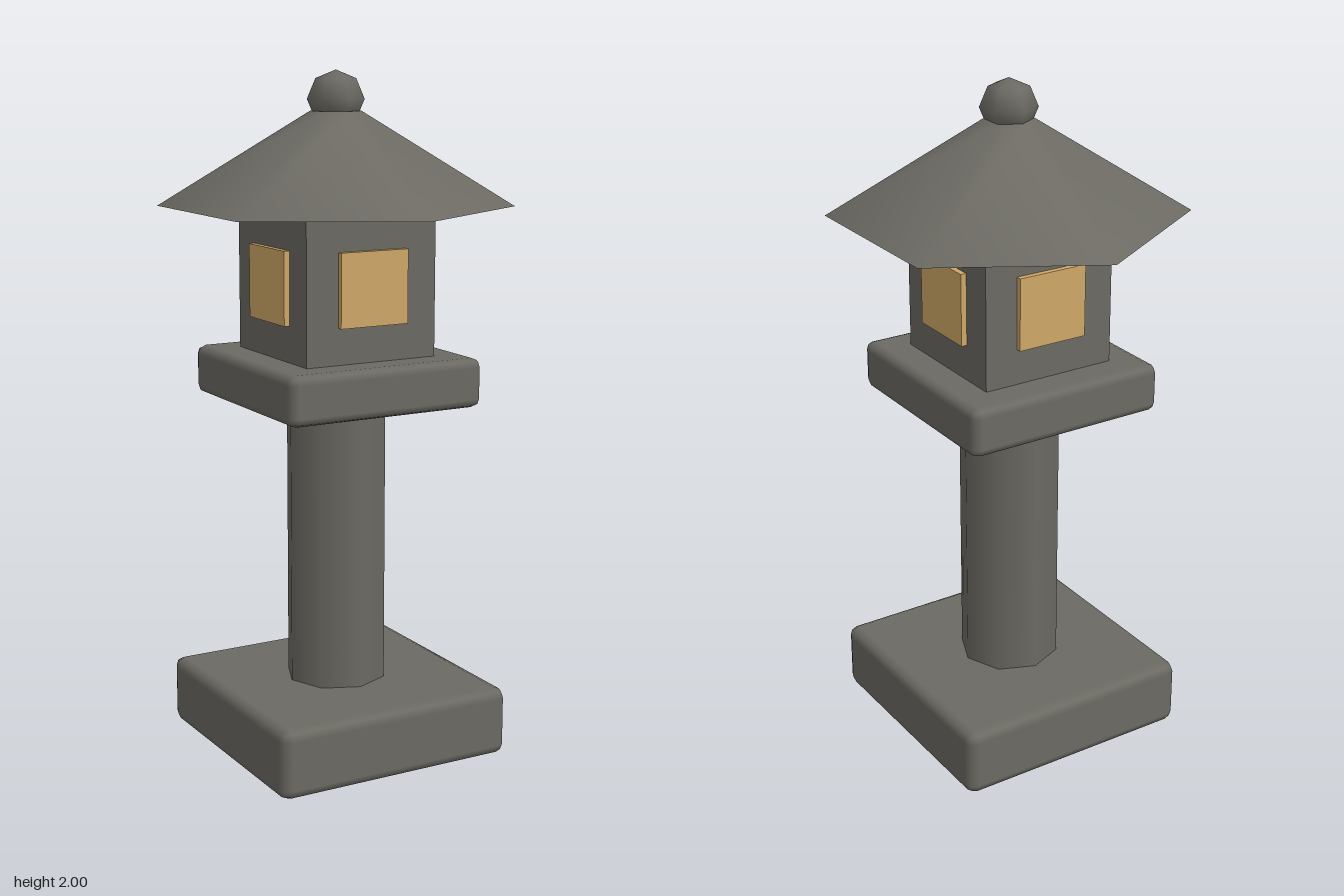
import * as THREE from 'three';
import { RoundedBoxGeometry } from 'three/addons/geometries/RoundedBoxGeometry.js';

export function createModel() {
  const stone = new THREE.MeshStandardMaterial({ color: 0x6c6a63 });
  stone.name = 'stone';
  const paper = new THREE.MeshStandardMaterial({ color: 0xd0a868 });
  paper.name = 'warm window';

  const lantern = new THREE.Group();
  lantern.name = 'stoneLantern';

  const add = (name, geometry, material, y) => {
    const mesh = new THREE.Mesh(geometry, material);
    mesh.name = name;
    mesh.position.y = y;
    lantern.add(mesh);
    return mesh;
  };

  // Chamfered foot, octagonal post and chamfered platform
  add('base', new RoundedBoxGeometry(0.746, 0.206, 0.746, 1, 0.031), stone, 0.103);
  add('post', new THREE.CylinderGeometry(0.15, 0.15, 0.86, 8), stone, 0.63);
  add('platform', new RoundedBoxGeometry(0.62, 0.144, 0.62, 1, 0.026), stone, 1.12);

  // Square light chamber with a raised window on each side
  add('lightChamber', new THREE.BoxGeometry(0.416, 0.43, 0.416), stone, 1.402);
  for (let i = 0; i < 4; i++) {
    const angle = (i * Math.PI) / 2;
    const pane = add('window' + (i + 1), new THREE.BoxGeometry(0.216, 0.212, 0.02), paper, 1.403);
    pane.position.x = Math.sin(angle) * 0.215;
    pane.position.z = Math.cos(angle) * 0.215;
    pane.rotation.y = angle;
  }

  // Six-sided roof, corners pointing to front and back
  add('roof', new THREE.CylinderGeometry(0.073, 0.514, 0.27, 6), stone, 1.75);

  // Faceted finial aligned with the roof corners
  const finial = add('finial', new THREE.SphereGeometry(0.082, 6, 4), stone, 1.918);
  finial.rotation.y = Math.PI / 2;

  return lantern;
}
